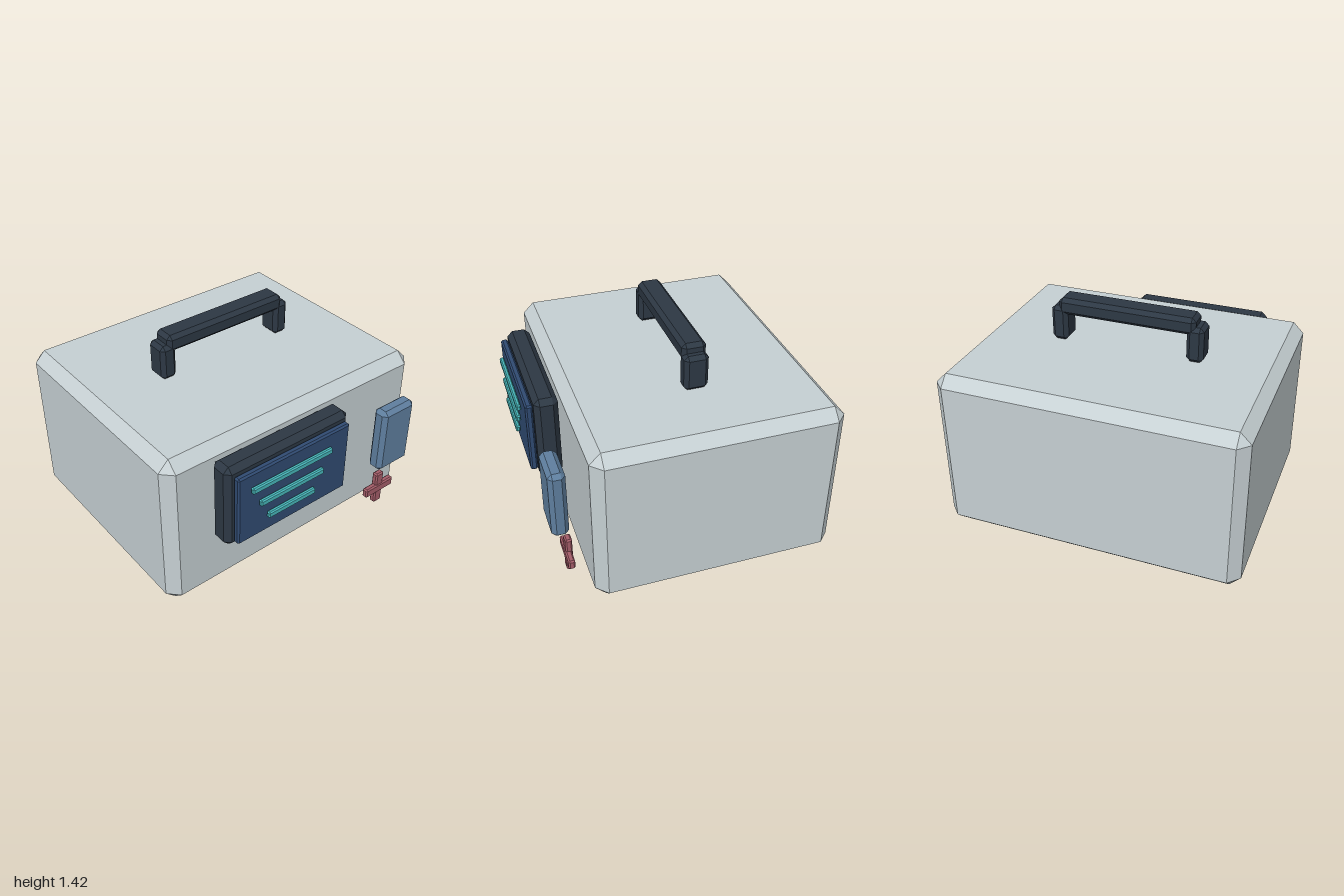
import * as THREE from 'three';
import { ConvexGeometry } from 'three/addons/geometries/ConvexGeometry.js';

const paint = (color) => new THREE.MeshStandardMaterial({ color, flatShading: true });

// Box between two limits per axis, with every edge and corner cut by a chamfer c
function chamferBox(name, [x0, x1], [y0, y1], [z0, z1], c, material) {
  const half = [(x1 - x0) / 2, (y1 - y0) / 2, (z1 - z0) / 2];
  const points = [];
  for (const sx of [-1, 1]) for (const sy of [-1, 1]) for (const sz of [-1, 1]) {
    for (let axis = 0; axis < 3; axis++) {
      const p = half.map((h, i) => (i === axis ? h : h - c));
      points.push(new THREE.Vector3(sx * p[0], sy * p[1], sz * p[2]));
    }
  }
  const mesh = new THREE.Mesh(new ConvexGeometry(points), material);
  mesh.name = name;
  mesh.position.set((x0 + x1) / 2, (y0 + y1) / 2, (z0 + z1) / 2);
  return mesh;
}

function createGroup(name, ...parts) {
  const group = new THREE.Group();
  group.name = name;
  group.add(...parts);
  return group;
}

export function createModel() {
  const shell = paint(0xc6d0d3);
  const dark = paint(0x2d3844);
  const glass = paint(0x304b72);
  const trace = paint(0x48b8bc);
  const blue = paint(0x5f7f9f);
  const red = paint(0xa45d69);

  // Main housing
  const body = chamferBox('body', [-1, 1], [0, 1.12], [-0.925, 0.672], 0.072, shell);

  // Carrying handle: two posts and a crossbar
  const handleZ = [-0.206, -0.048];
  const handle = createGroup('handle',
    chamferBox('handleBar', [-0.46, 0.46], [1.305, 1.42], handleZ, 0.026, dark),
    ...[-1, 1].map((s) =>
      chamferBox(s > 0 ? 'handlePostLeft' : 'handlePostRight',
        [s * 0.4585 - 0.056, s * 0.4585 + 0.056], [1.12, 1.36], handleZ, 0.026, dark)));

  // Display: frame, glass and three readout lines of shrinking length
  const display = createGroup('display',
    chamferBox('screenFrame', [-0.7, 0.257], [0.463, 1.062], [0.686, 0.842], 0.036, dark),
    chamferBox('screen', [-0.657, 0.212], [0.511, 1.014], [0.845, 0.892], 0.011, glass));
  for (let i = 0; i < 3; i++) {
    const x = -0.26, halfLength = 0.311 - i * 0.0625, y = 0.902 - i * 0.126;
    display.add(chamferBox('readoutLine' + (i + 1),
      [x - halfLength, x + halfLength], [y - 0.022, y + 0.022], [0.895, 0.925], 0.008, trace));
  }

  // Side control panel
  const panel = chamferBox('controlPanel', [0.54, 0.818], [0.446, 0.924], [0.781, 0.89], 0.028, blue);

  // Cross emblem: two overlapping bars
  const cross = createGroup('cross',
    chamferBox('crossBarHorizontal', [0.551, 0.807], [0.148, 0.217], [0.76, 0.804], 0.01, red),
    chamferBox('crossBarVertical', [0.643, 0.714], [0.054, 0.309], [0.753, 0.798], 0.01, red));

  return createGroup('medicalMonitor', body, handle, display, panel, cross);
}
